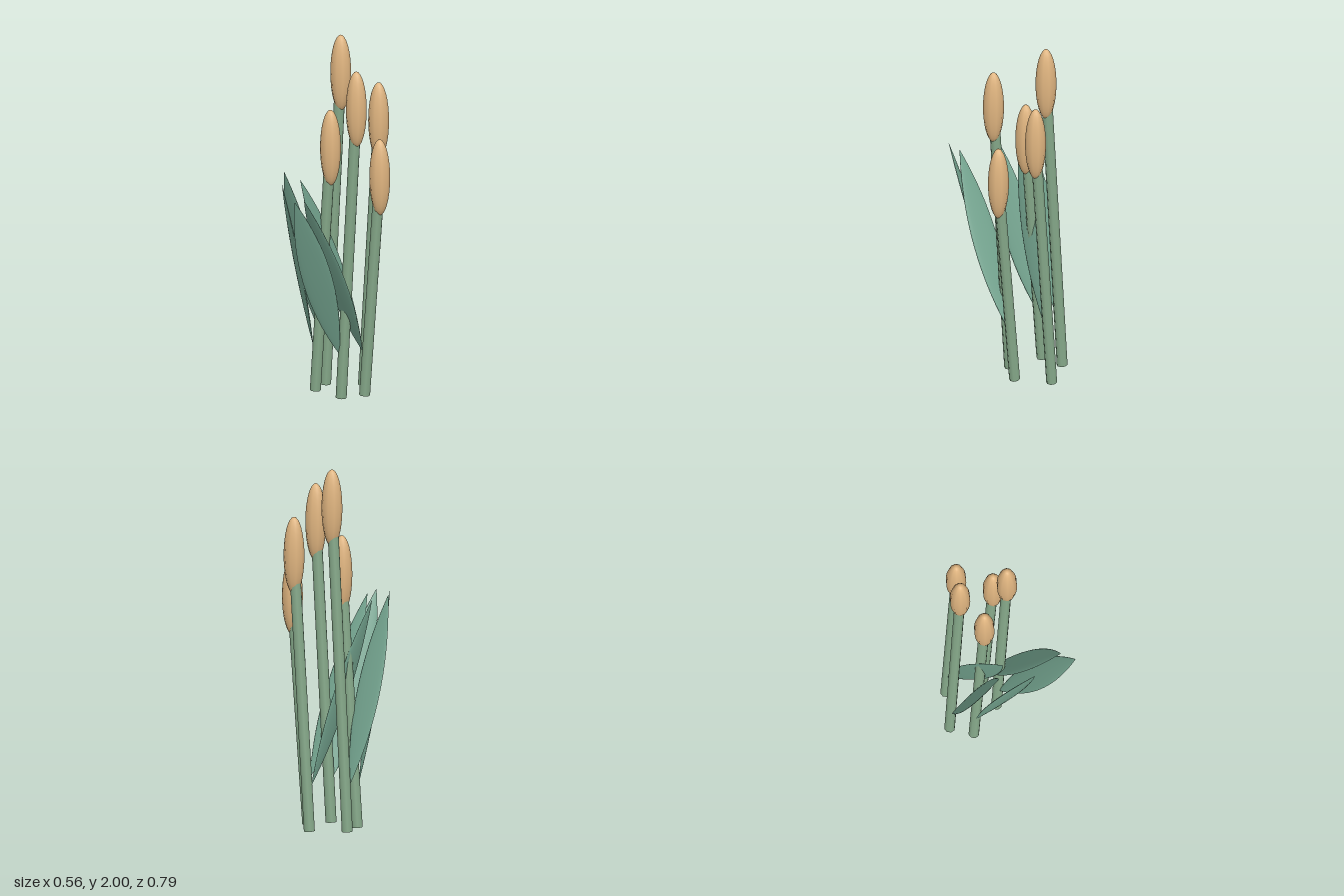
import * as THREE from 'three';

const UP = new THREE.Vector3(0, 1, 0);
const LEAN = 0.11; // sideways drift of every stem from foot to head

const stemMat = new THREE.MeshStandardMaterial({ color: 0x86a98a });
const headMat = new THREE.MeshStandardMaterial({ color: 0xe0b580 });
const leafMat = new THREE.MeshStandardMaterial({ color: 0x74a48f });

function named(name, geometry, material) {
  const mesh = new THREE.Mesh(geometry, material);
  mesh.name = name;
  return mesh;
}

// Slim octagonal stem, leaning towards +x
function makeStem(foot, top) {
  const dir = top.clone().sub(foot);
  const stem = named('stem', new THREE.CylinderGeometry(0.03, 0.03, dir.length(), 8), stemMat);
  stem.position.copy(foot).add(top).multiplyScalar(0.5);
  stem.quaternion.setFromUnitVectors(UP, dir.normalize());
  return stem;
}

// Upright spindle-shaped seed head
function makeHead(center) {
  const head = named('seedHead', new THREE.SphereGeometry(1, 10, 16), headMat);
  head.scale.set(0.057, 0.215, 0.057);
  head.position.copy(center);
  return head;
}

// Thin blade, pointed at both ends: a sphere whose rings follow a lens outline
function makeLeaf(base, tip, spin) {
  const dir = tip.clone().sub(base);
  const geo = new THREE.SphereGeometry(1, 16, 20);
  const pos = geo.attributes.position;
  for (let i = 0; i < pos.count; i++) {
    const y = Math.max(-1, Math.min(1, pos.getY(i)));
    const polar = Math.acos(y);
    const t = 1 - polar / Math.PI;
    const ring = Math.max(Math.sin(polar), 1e-6);
    const outline = 4 * t * (1 - t);
    pos.setXYZ(i,
      (pos.getX(i) / ring) * 0.081 * outline,
      (t - 0.5) * dir.length(),
      (pos.getZ(i) / ring) * 0.011 * outline);
  }
  geo.computeVertexNormals();
  const leaf = named('leaf', geo, leafMat);
  leaf.position.copy(base).add(tip).multiplyScalar(0.5);
  leaf.quaternion.setFromUnitVectors(UP, dir.normalize());
  leaf.rotateY(spin);
  return leaf;
}

export function createModel() {
  const group = new THREE.Group();
  group.name = 'reedClump';

  // head x, head z, head top, leaf tip, leaf spin about its own length
  const reeds = [
    { x: -0.085, z: -0.215, top: 2.0, tip: [-0.21, 1.27, 0.11], spin: 0 },
    { x: -0.045, z: -0.085, top: 1.61, tip: [-0.09, 1.26, 0.265], spin: -0.6 },
    { x: 0.08, z: -0.34, top: 1.735, tip: [-0.12, 1.235, 0.08], spin: -1.4 },
    { x: 0.16, z: -0.065, top: 1.87, tip: [0.12, 1.22, 0.397], spin: 0.8 },
    { x: 0.22, z: -0.19, top: 1.47, tip: [0.11, 1.21, 0.31], spin: 0 },
  ];

  for (const r of reeds) {
    const reed = new THREE.Group();
    reed.name = 'reed';
    const foot = new THREE.Vector3(r.x - LEAN, 0.002, r.z);
    const center = new THREE.Vector3(r.x, r.top - 0.215, r.z);
    const leafBase = new THREE.Vector3(foot.x, 0.25, r.z + 0.015);
    reed.add(
      makeStem(foot, center),
      makeHead(center),
      makeLeaf(leafBase, new THREE.Vector3(...r.tip), r.spin),
    );
    group.add(reed);
  }
  return group;
}
